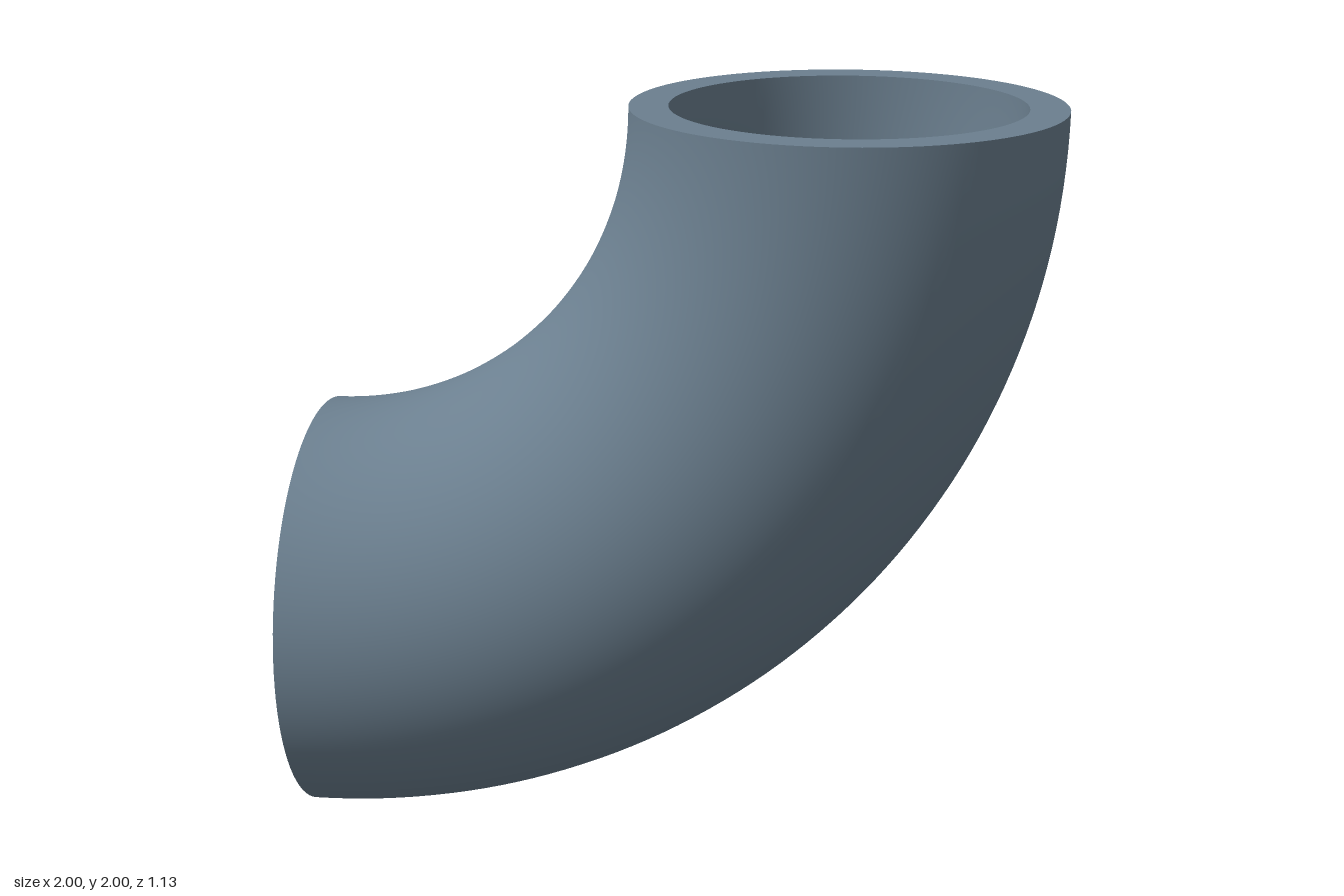
import * as THREE from 'three';

const BEND = 1.433;   // radius of the bend's centre line
const OUTER = 0.567;  // outside radius of the pipe
const BORE = 0.464;   // inside radius of the pipe
const SIDES = 96;

// Quarter torus running from the bottom of the bend to its right-hand end
function quarterBend(radius) {
  return new THREE.TorusGeometry(BEND, radius, SIDES, 64, Math.PI / 2)
    .rotateZ(-Math.PI / 2)
    .translate(-1, 2, 0);
}

// Turn a surface inside out
function flip(geometry) {
  geometry.index.array.reverse();
  const n = geometry.attributes.normal;
  for (let i = 0; i < n.count; i++) n.setXYZ(i, -n.getX(i), -n.getY(i), -n.getZ(i));
  return geometry;
}

export function createModel() {
  const group = new THREE.Group();
  group.name = 'pipeElbow';
  const material = new THREE.MeshStandardMaterial({ color: 0x6b7f8f });

  const add = (name, geometry) => {
    const mesh = new THREE.Mesh(geometry, material);
    mesh.name = name;
    group.add(mesh);
  };

  // Pipe walls
  add('outerWall', quarterBend(OUTER));
  add('innerWall', flip(quarterBend(BORE)));

  // Flat annular ends
  const rim = () => new THREE.RingGeometry(BORE, OUTER, SIDES);
  add('topRim', rim().rotateX(-Math.PI / 2).translate(BEND - 1, 2, 0));
  add('sideRim', rim().rotateY(-Math.PI / 2).translate(-1, 2 - BEND, 0));

  return group;
}
